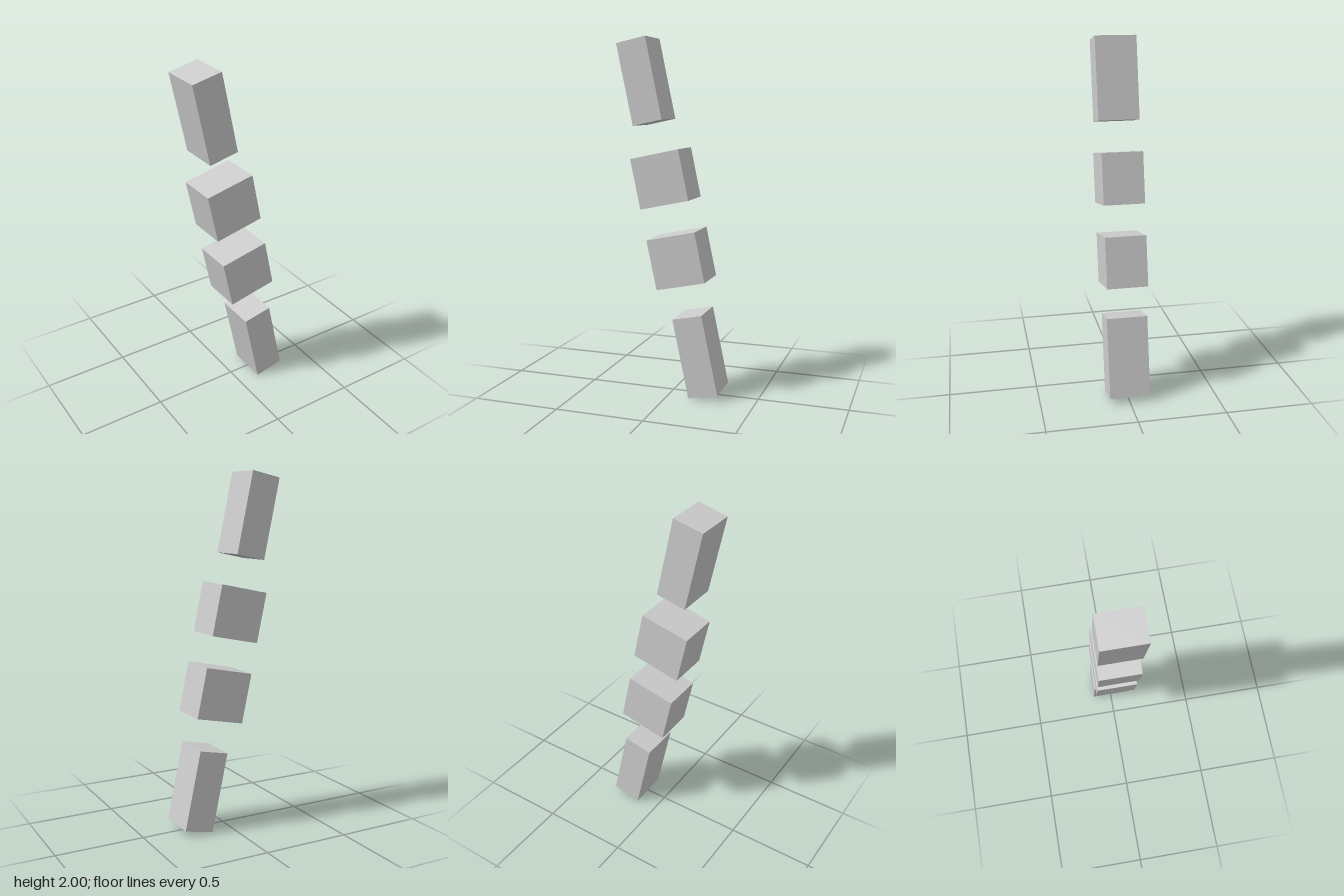
import * as THREE from 'three';

const TILT = THREE.MathUtils.degToRad(12);
const DEPTH = 0.23;

export function createModel() {
  const model = new THREE.Group();
  const material = new THREE.MeshStandardMaterial({ color: 0xcccccc, flatShading: true });

  // Tilted blocks in a leaning column: name, centre x, centre y, width, height
  const blocks = [
    ['topBlock', -0.162, 1.759, 0.172, 0.456],
    ['upperMiddleBlock', -0.047, 1.226, 0.285, 0.285],
    ['lowerMiddleBlock', 0.047, 0.776, 0.285, 0.285],
    ['bottomBlock', 0.162, 0.241, 0.172, 0.456],
  ];
  for (const [name, x, y, width, height] of blocks) {
    const block = new THREE.Mesh(new THREE.BoxGeometry(width, height, DEPTH), material);
    block.name = name;
    block.position.set(x, y, 0);
    block.rotation.z = TILT;
    model.add(block);
  }
  return model;
}
